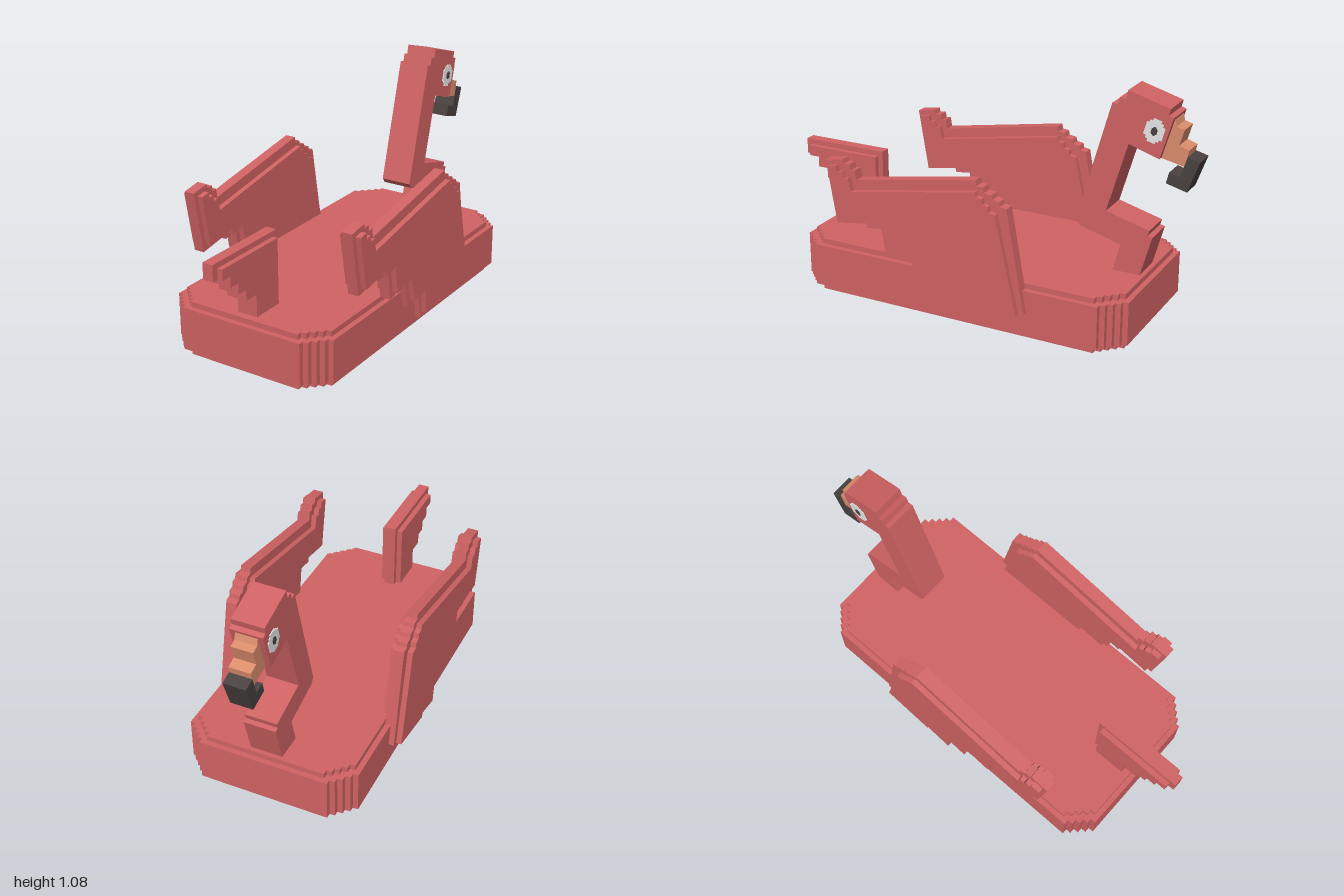
import * as THREE from 'three';

const material = (name, color) => {
  const m = new THREE.MeshStandardMaterial({ color });
  m.name = name;
  return m;
};

const toShape = (pts) => new THREE.Shape(pts.map(([a, b]) => new THREE.Vector2(a, b)));

// Side profile of [z, y] points, given a thickness along x
function slab(name, mat, pts, width, x = 0) {
  const geo = new THREE.ExtrudeGeometry(toShape(pts), { depth: width, bevelEnabled: false });
  geo.translate(0, 0, -width / 2).rotateY(-Math.PI / 2).translate(x, 0, 0);
  const mesh = new THREE.Mesh(geo, mat);
  mesh.name = name;
  return mesh;
}

// Plan outline with staircase corners, raised from y0 to y1
function raftLayer(name, mat, hx, hz, y0, y1) {
  const s = 0.025, n = 4;
  const corner = [[hx, hz - n * s]];
  for (let i = 1; i <= n; i++) {
    corner.push([hx - i * s, hz - (n - i + 1) * s], [hx - i * s, hz - (n - i) * s]);
  }
  const flip = (sx, sz) => corner.map(([x, z]) => [x * sx, z * sz]);
  const pts = [...flip(1, 1), ...flip(-1, 1).reverse(), ...flip(-1, -1), ...flip(1, -1).reverse()];
  const geo = new THREE.ExtrudeGeometry(toShape(pts), { depth: y1 - y0, bevelEnabled: false });
  geo.rotateX(Math.PI / 2).translate(0, y1, 0);
  const mesh = new THREE.Mesh(geo, mat);
  mesh.name = name;
  return mesh;
}

// Plus-stepped oval, tilted with the head and centred on [z, y]
function steppedOval(cz, cy, w, h, step) {
  const pts = [
    [w, h - 2 * step], [w - step, h - 2 * step], [w - step, h - step], [w - 2 * step, h - step], [w - 2 * step, h],
    [-w + 2 * step, h], [-w + 2 * step, h - step], [-w + step, h - step], [-w + step, h - 2 * step], [-w, h - 2 * step],
  ];
  const all = [...pts, ...pts.map(([a, b]) => [-a, -b])];
  const c = Math.cos(0.27), s = Math.sin(0.27);
  return all.map(([a, b]) => [cz + a * c - b * s, cy + a * s + b * c]);
}

export function createModel() {
  const model = new THREE.Group();
  model.name = 'birdFloat';
  const red = material('coral red', 0xd06263);
  const orange = material('beak orange', 0xdb8d6c);
  const black = material('beak black', 0x48413f);
  const white = material('eye white', 0xf2f2f2);

  // Raft body: a wide middle band and a slightly smaller, taller core
  const body = new THREE.Group();
  body.name = 'body';
  body.add(raftLayer('bodyBand', red, 0.405, 0.81, 0.03, 0.23));
  body.add(raftLayer('bodyCore', red, 0.38, 0.785, 0, 0.255));
  model.add(body);

  // Tail: a thin core standing proud of a thicker middle
  const tail = new THREE.Group();
  tail.name = 'tail';
  const tailSteps = [[0.92, 0.51], [0.92, 0.46], [0.87, 0.46], [0.87, 0.41], [0.82, 0.41], [0.82, 0.36], [0.75, 0.36], [0.75, 0.25]];
  tail.add(slab('tailCore', red, [[0.57, 0.25], [0.57, 0.585], [1, 0.585], [1, 0.51], ...tailSteps], 0.05));
  tail.add(slab('tailMiddle', red, [[0.595, 0.25], [0.595, 0.56], [0.97, 0.56], [0.97, 0.51], ...tailSteps], 0.1));
  model.add(tail);

  // Wings
  const wingCore = [
    [0.61, 0.67], [0.52, 0.685], [0.515, 0.665], [0.485, 0.667], [0.48, 0.64], [0.457, 0.643], [0.45, 0.6],
    [-0.15, 0.705], [-0.155, 0.68], [-0.185, 0.677], [-0.19, 0.655], [-0.225, 0.65], [-0.23, 0.63],
    [-0.262, 0.625], [-0.266, 0.605], [-0.297, 0.6], [-0.38, 0.13],
    [0.04, 0.055], [0.06, 0.175], [0.155, 0.155], [0.18, 0.28], [0.305, 0.255], [0.325, 0.39],
    [0.4, 0.38], [0.405, 0.4], [0.56, 0.375],
  ];
  const wingMiddle = [
    [0.585, 0.65], [0.54, 0.658], [0.535, 0.63], [0.51, 0.635], [0.5, 0.605], [0.478, 0.61], [0.465, 0.55],
    [-0.16, 0.66], [-0.165, 0.64], [-0.19, 0.635], [-0.195, 0.61], [-0.22, 0.605], [-0.225, 0.58],
    [-0.255, 0.573], [-0.355, 0.127],
    [-0.105, 0.085], [-0.1, 0.107], [0.027, 0.08], [0.045, 0.2], [0.135, 0.182], [0.16, 0.305],
    [0.285, 0.283], [0.305, 0.415], [0.38, 0.403], [0.385, 0.427], [0.54, 0.402],
  ];
  for (const [side, sx] of [['left', 1], ['right', -1]]) {
    const wing = new THREE.Group();
    wing.name = side + 'Wing';
    wing.add(slab('wingCore', red, wingCore, 0.05, sx * 0.405));
    wing.add(slab('wingMiddle', red, wingMiddle, 0.1, sx * 0.405));
    model.add(wing);
  }

  // Bent neck with the head
  model.add(slab('neckAndHead', red, [
    [-0.455, 0.46], [-0.61, 1.015], [-0.635, 1.01], [-0.645, 1.045], [-0.67, 1.038], [-0.68, 1.08],
    [-0.87, 1.025], [-0.863, 0.995], [-0.885, 0.987], [-0.83, 0.8], [-0.69, 0.845], [-0.597, 0.525],
    [-0.8, 0.47], [-0.793, 0.445], [-0.815, 0.44], [-0.76, 0.24], [-0.633, 0.24], [-0.67, 0.38], [-0.475, 0.435],
  ], 0.15));

  // Beak and its hooked tip
  model.add(slab('beak', orange, [
    [-0.82, 0.8], [-0.865, 0.97], [-0.882, 0.975], [-0.89, 0.945], [-0.925, 0.935], [-0.905, 0.865],
    [-0.95, 0.85], [-0.935, 0.775],
  ], 0.1));
  model.add(slab('beakTip', black, [
    [-0.945, 0.82], [-1, 0.805], [-0.95, 0.665], [-0.855, 0.69], [-0.867, 0.74], [-0.915, 0.727],
  ], 0.104));

  // Eyes
  for (const [side, sx] of [['left', 1], ['right', -1]]) {
    model.add(slab(side + 'Eye', white, steppedOval(-0.803, 0.92, 0.043, 0.053, 0.012), 0.006, sx * 0.076));
    model.add(slab(side + 'Pupil', black, steppedOval(-0.803, 0.92, 0.013, 0.019, 0.004), 0.006, sx * 0.079));
  }
  return model;
}
